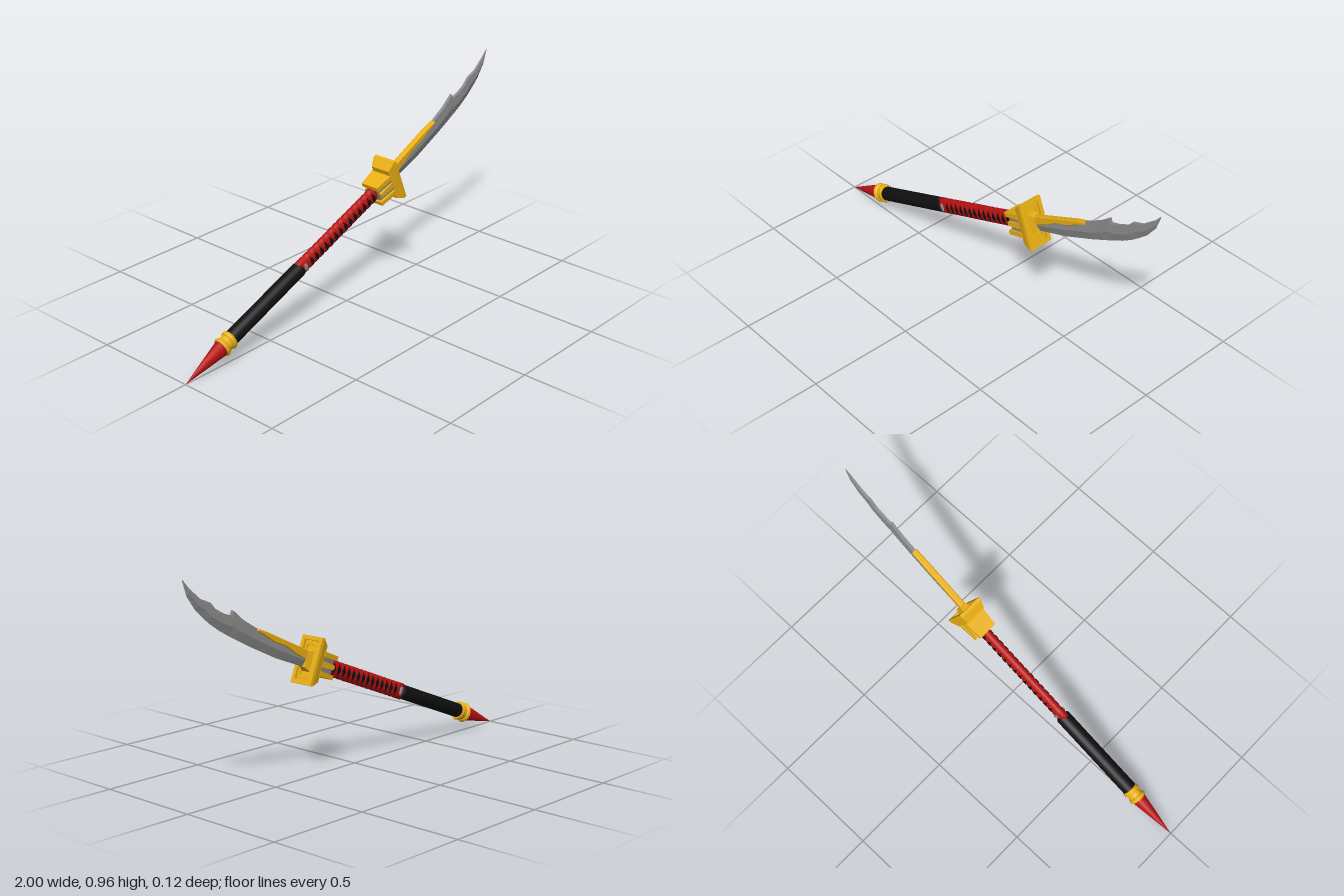
import * as THREE from 'three';

const mat = (color, flat = false) =>
  new THREE.MeshStandardMaterial({ color, flatShading: flat, side: THREE.DoubleSide });
const GOLD = mat(0xeab014, true), RED = mat(0xb81212), BLACK = mat(0x101010), STEEL = mat(0x8c8c8c, true);

function add(parent, name, geometry, material) {
  const mesh = new THREE.Mesh(geometry, material);
  mesh.name = name;
  parent.add(mesh);
  return mesh;
}

// Turned part along +x: points are [radius, position]; ry and rz squash the section
function turned(parent, name, points, material, ry = 1, rz = 1, sides = 24) {
  const geo = new THREE.LatheGeometry(points.map(p => new THREE.Vector2(p[0], p[1])), sides);
  geo.scale(ry, 1, rz).rotateZ(-Math.PI / 2);
  return add(parent, name, geo, material);
}

// Block along x whose half height and half width change from [h0, w0] to [h1, w1]
function taperedBlock(parent, name, x0, x1, [h0, w0], [h1, w1], material) {
  const geo = new THREE.BoxGeometry(2, 2, 2);
  const p = geo.attributes.position;
  for (let i = 0; i < p.count; i++) {
    const end = p.getX(i) > 0;
    p.setXYZ(i, end ? x1 : x0, p.getY(i) * (end ? h1 : h0), p.getZ(i) * (end ? w1 : w0));
  }
  geo.computeVertexNormals();
  return add(parent, name, geo, material);
}

// Rectangular frame facing +x
function frame(parent, name, x0, depth, h, w, border) {
  const rect = (S, a, b) => new S([[-a, -b], [a, -b], [a, b], [-a, b]].map(q => new THREE.Vector2(...q)));
  const shape = rect(THREE.Shape, w, h);
  shape.holes.push(rect(THREE.Path, w - border, h - border));
  const geo = new THREE.ExtrudeGeometry(shape, { depth, bevelEnabled: false });
  geo.rotateY(Math.PI / 2).translate(x0, 0, 0);
  return add(parent, name, geo, GOLD);
}

// Blade lofted through stations of spine point, edge point and half thickness
function bladeGeometry() {
  const stations = [
    [.30, .56, .32, .50, .011], [.46, .64, .49, .567, .011], [.607, .715, .64, .64, .011],
    [.68, .76, .71, .677, .011], [.735, .807, .75, .699, .010], [.742, .786, .76, .704, .010],
    [.783, .80, .81, .733, .010], [.83, .825, .86, .768, .010], [.858, .856, .89, .793, .009],
    [.91, .877, .935, .835, .009], [.965, .925, .978, .895, .007], [.997, .963, .998, .958, .002],
  ];
  const pos = [], index = [], n = 5;
  stations.forEach(([bx, by, ex, ey, t], i) => {
    const rx = bx + (ex - bx) * .55, ry = by + (ey - by) * .55;
    pos.push(bx, by, t * .7, rx, ry, t, ex, ey, 0, rx, ry, -t, bx, by, -t * .7);
    if (i === 0) return;
    for (let j = 0; j < n; j++) {
      const a = (i - 1) * n + j, b = (i - 1) * n + (j + 1) % n;
      index.push(a, b, a + n, b, b + n, a + n);
    }
  });
  const geo = new THREE.BufferGeometry();
  geo.setAttribute('position', new THREE.Float32BufferAttribute(pos, 3));
  geo.setIndex(index);
  geo.computeVertexNormals();
  return geo;
}

export function createModel() {
  const root = new THREE.Group();

  // Everything on the shaft is built along +x from the pommel point, then tilted
  const shaft = new THREE.Group();
  shaft.name = 'shaft';
  shaft.position.set(-1, 0.003, 0);
  shaft.rotation.z = THREE.MathUtils.degToRad(22);
  root.add(shaft);

  // Pommel spike, ring and lower grip
  turned(shaft, 'pommelSpike', [[0, 0], [.04, .23], [0, .23]], RED, 1, .85, 16);
  turned(shaft, 'pommelRing', [[0, .225], [.044, .225], [.048, .232], [.044, .242], [.038, .246],
    [.038, .266], [.044, .27], [.046, .278], [.042, .288], [0, .288]], GOLD, 1, .86);
  turned(shaft, 'lowerGrip', [[0, .27], [.034, .27], [.034, .74], [.03, .748], [0, .748]], BLACK);

  // Ribbed oval upper grip
  const ry = .038, rz = .024, start = .79, pitch = .034, count = 14;
  const ribs = [[0, .735], [1, .735], [1, .78]];
  for (let i = 0; i < count; i++) {
    const x = start + i * pitch;
    ribs.push([.9, x], [1, x + .008], [1, x + pitch - .008]);
  }
  ribs.push([.95, 1.275], [.95, 1.3], [0, 1.3]);
  turned(shaft, 'upperGrip', ribs, RED, ry, rz, 28);

  // Dark diamonds curved over both flat sides of the grip
  const diamond = new THREE.PlaneGeometry(2, 2, 2, 10);
  const p = diamond.attributes.position;
  for (let i = 0; i < p.count; i++) {
    const t = p.getY(i), y = t * .028;
    p.setXYZ(i, p.getX(i) * .012 * (1 - Math.abs(t)) - t * .002, y, rz * Math.sqrt(1 - (y / ry) ** 2) + .001);
  }
  diamond.computeVertexNormals();
  for (const turn of [0, Math.PI]) {
    for (let i = 0; i < count; i++) {
      const d = add(shaft, 'gripDiamond', diamond, BLACK);
      d.position.x = start + (i + .5) * pitch;
      d.rotation.x = turn;
    }
    // Small steel ornament
    const o = add(shaft, 'gripOrnament', new THREE.SphereGeometry(1, 12, 8), STEEL);
    o.scale.set(.01, .022, .005);
    o.position.set(.766, 0, turn ? -rz : rz);
  }

  // Collar: steel core with gold straps
  taperedBlock(shaft, 'collarCore', 1.275, 1.36, [.038, .034], [.05, .046], STEEL);
  for (const s of [-1, 1]) {
    const strap = taperedBlock(shaft, 'collarStrap', 1.265, 1.36, [.01, .046], [.012, .054], GOLD);
    strap.position.y = s * .043;
    const side = taperedBlock(shaft, 'collarSideStrap', 1.275, 1.36, [.01, .006], [.014, .008], GOLD);
    side.position.z = s * .043;
  }

  // Rectangular guard with stepped front
  taperedBlock(shaft, 'guardBack', 1.355, 1.393, [.08, .05], [.107, .06], GOLD);
  frame(shaft, 'guardOuterFrame', 1.392, .016, .107, .06, .018);
  frame(shaft, 'guardInnerFrame', 1.392, .009, .08, .036, .01);
  taperedBlock(shaft, 'guardBoss', 1.39, 1.425, [.05, .024], [.034, .016], GOLD);

  // Blade and the gold sheath along its spine
  add(root, 'blade', bladeGeometry(), STEEL);
  const outline = [[.30, .545], [.33, .54], [.393, .578], [.436, .61], [.51, .642], [.564, .678],
    [.605, .702], [.60, .712], [.55, .692], [.307, .575]];
  const sheath = new THREE.ExtrudeGeometry(new THREE.Shape(outline.map(q => new THREE.Vector2(...q))), {
    depth: .02, bevelThickness: .004, bevelSize: .003, bevelOffset: -.003, bevelSegments: 1 });
  sheath.translate(0, 0, -.01);
  add(root, 'spineSheath', sheath, GOLD);

  return root;
}
